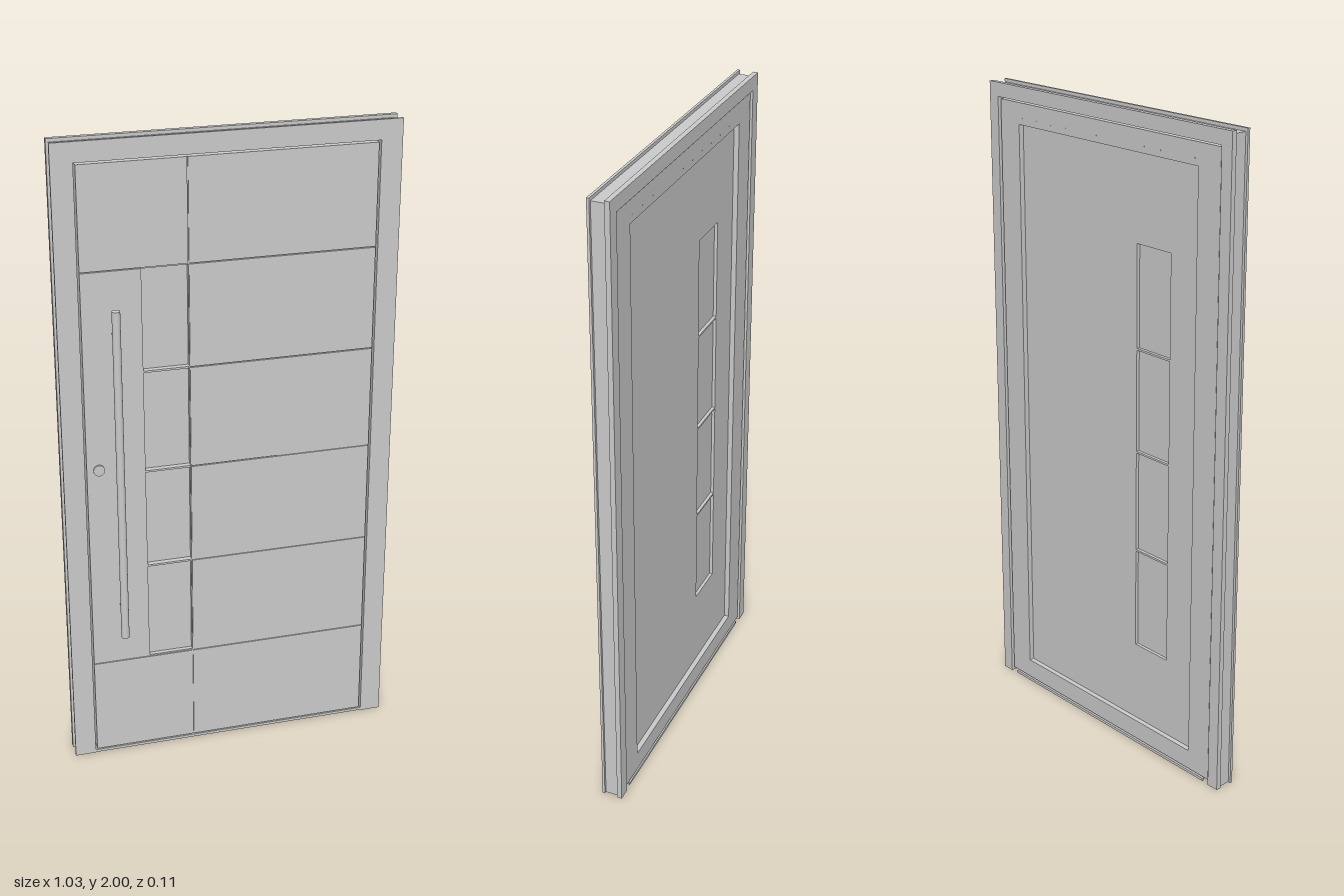
import * as THREE from 'three';

const material = new THREE.MeshStandardMaterial({ color: 0xcccccc });

export function createModel() {
  const root = new THREE.Group();
  root.name = 'entranceDoor';

  const add = (geometry, name, parent) => {
    const mesh = new THREE.Mesh(geometry, material);
    mesh.name = name;
    parent.add(mesh);
    return mesh;
  };
  const group = (name) => {
    const g = new THREE.Group();
    g.name = name;
    root.add(g);
    return g;
  };
  // Box given by its limits on each axis
  const box = (name, parent, x0, x1, y0, y1, z0, z1) =>
    add(new THREE.BoxGeometry(x1 - x0, y1 - y0, z1 - z0), name, parent)
      .position.set((x0 + x1) / 2, (y0 + y1) / 2, (z0 + z1) / 2);
  const points = (list) => list.map(([x, y]) => new THREE.Vector2(x, y));
  const rect = (x0, x1, y0, y1) => points([[x0, y0], [x1, y0], [x1, y1], [x0, y1]]);
  // Flat outline with holes, extruded from z0 to z1
  const plate = (name, parent, outline, holes, z0, z1) => {
    const shape = new THREE.Shape(outline);
    holes.forEach((h) => shape.holes.push(new THREE.Path(h)));
    const geometry = new THREE.ExtrudeGeometry(shape, { depth: z1 - z0, bevelEnabled: false });
    add(geometry, name, parent).position.z = z0;
  };
  // Round bar along z
  const zRod = (name, parent, x, y, r, z0, z1) => {
    const geometry = new THREE.CylinderGeometry(r, r, z1 - z0, 24).rotateX(Math.PI / 2);
    add(geometry, name, parent).position.set(x, y, (z0 + z1) / 2);
  };

  // Frame: jambs and head in layers, forming the outer channel and the rear rebate
  const frame = group('frame');
  const arch = (w, h, iw, ih) => points([
    [-w, 0], [-iw, 0], [-iw, ih], [iw, ih], [iw, 0], [w, 0], [w, h], [-w, h],
  ]);
  [
    ['frameFrontLip', 0.515, 2, 0.45, 1.94, 0.002, 0.01],
    ['frameCore', 0.507, 1.99, 0.45, 1.94, -0.03, 0.002],
    ['frameRebate', 0.507, 1.99, 0.476, 1.957, -0.04, -0.03],
    ['frameBackLip', 0.515, 2, 0.476, 1.957, -0.0555, -0.04],
  ].forEach(([name, w, h, iw, ih, z0, z1]) => plate(name, frame, arch(w, h, iw, ih), [], z0, z1));

  // Threshold: thin plate on two runners
  const threshold = group('threshold');
  box('thresholdPlate', threshold, -0.45, 0.45, 0.005, 0.009, -0.053, 0.008);
  for (const z of [-0.053, -0.025, 0.003]) {
    box('thresholdRunner', threshold, -0.45, 0.45, 0, 0.005, z, z + 0.005);
  }

  // Leaf core with four window openings
  const leaf = group('leaf');
  const W = 0.444, bottom = 0.013, top = 1.934, groove = 0.0015, bar = 0.003;
  const winL = -0.265, winR = -0.125;
  const levels = [0.33, 0.655, 0.977, 1.3, 1.62];
  const windows = levels.slice(0, -1).map((y, i) => [y + bar, levels[i + 1] - bar]);
  plate('leafCore', leaf, rect(-W, W, bottom, top),
    windows.map(([a, b]) => rect(winL, winR, a, b)), -0.034, 0.004);

  // Raised rim on the back, overlapping the frame rebate
  plate('backRim', leaf, rect(-0.47, 0.47, bottom, 1.951),
    [rect(-0.384, 0.384, 0.075, 1.885)], -0.05, -0.0301);

  // Front cladding panels, separated by narrow grooves
  const skin = (x0, x1, y0, y1) => box('frontPanel', leaf, x0, x1, y0, y1, 0.003, 0.008);
  const rows = [bottom, ...levels, top];
  for (let i = 0; i < rows.length - 1; i++) {
    const lo = rows[i] + (i > 0 ? groove : 0);
    const hi = rows[i + 1] - (i < rows.length - 2 ? groove : 0);
    skin(winR + groove, W, lo, hi);
    if (i === 0 || i === rows.length - 2) skin(-W, winR - groove, lo, hi);
  }
  skin(-W, winL, levels[0] + groove, levels[4] - groove);

  // Bars between the windows and panes set back on both sides
  levels.slice(1, -1).forEach((y) =>
    box('windowBar', leaf, winL, winR - groove, y - bar, y + bar, 0.003, 0.008));
  windows.forEach(([a, b]) => box('windowPane', leaf, winL, winR, a, b, -0.024, -0.01));

  // Row of small fixings along the top of the back rim
  for (let i = 0; i < 12; i++) {
    zRod('rimFixing', leaf, -0.37 + (i * 0.74) / 11, 1.905, 0.002, -0.0506, -0.049);
  }

  // Long pull bar on two standoffs
  const handle = group('pullHandle');
  const hx = -0.349, hz = 0.043;
  add(new THREE.CylinderGeometry(0.0125, 0.0125, 1.075, 32), 'pullBar', handle)
    .position.set(hx, 0.9725, hz);
  for (const y of [0.533, 1.43]) zRod('standoff', handle, hx, y, 0.007, 0.007, hz);

  // Lock rosette with cylinder
  const lock = group('lock');
  zRod('lockRosette', lock, -0.407, 1, 0.0175, 0.007, 0.0135);
  zRod('lockCylinder', lock, -0.407, 1.003, 0.006, 0.007, 0.0145);
  box('lockCylinderTail', lock, -0.41, -0.404, 0.988, 1, 0.007, 0.0145);

  return root;
}
